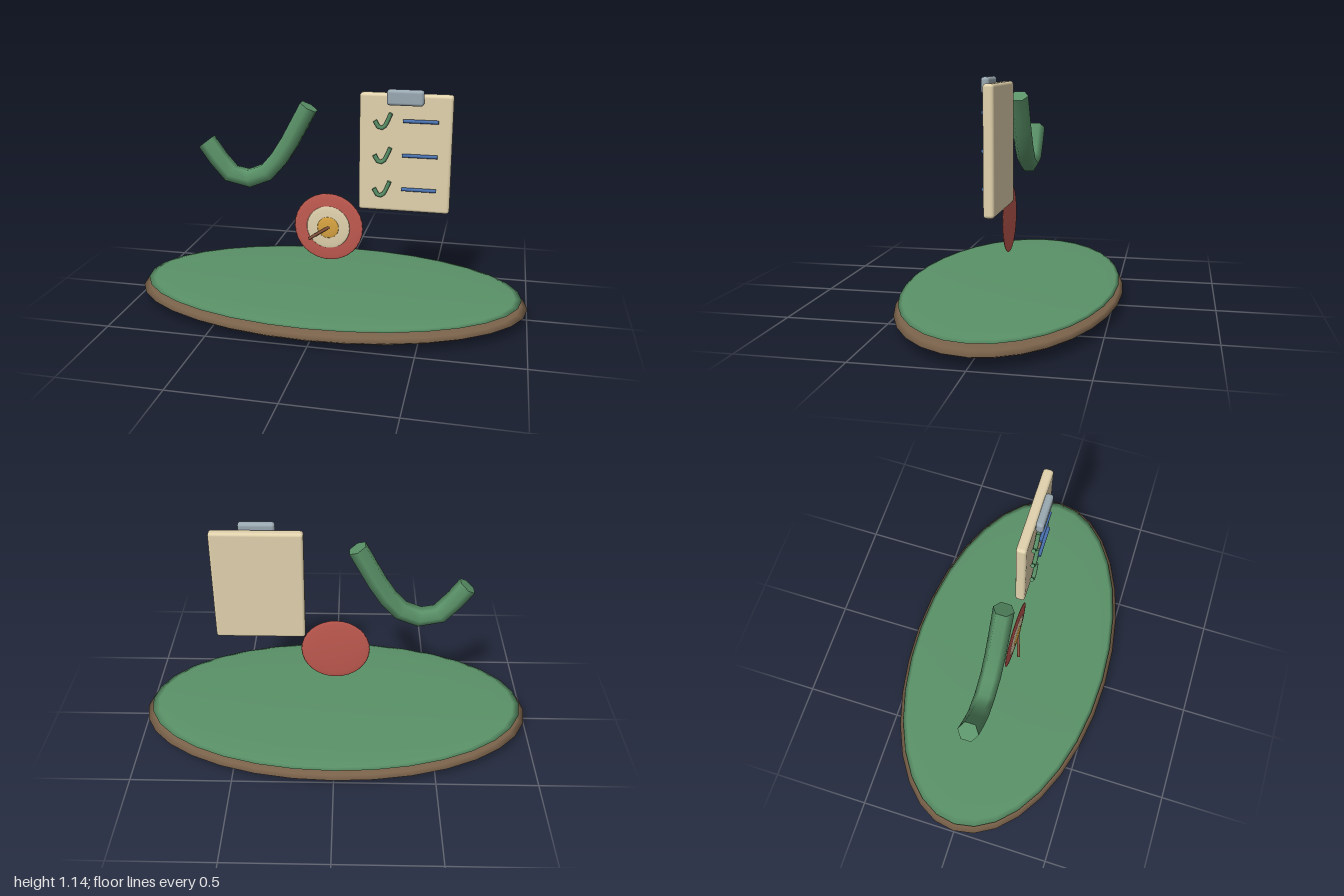
import * as THREE from 'three';
import { RoundedBoxGeometry } from 'three/addons/geometries/RoundedBoxGeometry.js';

const material = (color) => new THREE.MeshStandardMaterial({ color });
const GREEN = material(0x5a9268);
const BROWN = material(0x7a624a);
const CREAM = material(0xe2d3ae);
const RED = material(0xc05a50);
const GOLD = material(0xd9a441);
const BLUE = material(0x4a72b0);
const STEEL = material(0x9aa9b2);
const WOOD = material(0x80503a);

// Check mark path, measured from its start point
const TICK = [[0, 0], [0.12, -0.156], [0.18, -0.183], [0.305, -0.148], [0.39, -0.053], [0.532, 0.2]];

export function createModel() {
  const model = new THREE.Group();

  const add = (name, geometry, mat, x = 0, y = 0, z = 0, parent = model) => {
    const mesh = new THREE.Mesh(geometry, mat);
    mesh.name = name;
    mesh.position.set(x, y, z);
    parent.add(mesh);
    return mesh;
  };

  // Squashed sphere
  const ellipsoid = (rx, ry, rz, w, h) => new THREE.SphereGeometry(1, w, h).scale(rx, ry, rz);

  // Straight rod between two points
  const rod = (name, a, b, radius, sides, mat, parent) => {
    const dir = b.clone().sub(a);
    const mid = a.clone().add(b).multiplyScalar(0.5);
    const mesh = add(name, new THREE.CylinderGeometry(radius, radius, dir.length(), sides), mat, mid.x, mid.y, mid.z, parent);
    mesh.quaternion.setFromUnitVectors(new THREE.Vector3(0, 1, 0), dir.normalize());
    return mesh;
  };

  // Hexagonal tube check mark with capped ends
  const tick = (name, x, y, z, sx, sy, radius, parent) => {
    const group = new THREE.Group();
    group.name = name;
    group.position.set(x, y, z);
    const curve = new THREE.CatmullRomCurve3(TICK.map(([px, py]) => new THREE.Vector3(px * sx, py * sy, 0)));
    add(name + 'Stroke', new THREE.TubeGeometry(curve, 8, radius, 6), GREEN, 0, 0, 0, group);
    for (const t of [0, 1]) {
      const p = curve.getPointAt(t);
      const out = curve.getTangentAt(t).multiplyScalar(t ? 1 : -1);
      const cap = add(name + 'Cap', new THREE.CircleGeometry(radius, 6).rotateZ(Math.PI / 2), GREEN, p.x, p.y, 0, group);
      // turn the cap outwards while keeping two corners on the z axis
      const side = new THREE.Vector3(0, 0, 1);
      const basis = new THREE.Matrix4().makeBasis(side.clone().cross(out), side, out);
      cap.quaternion.setFromRotationMatrix(basis);
    }
    (parent || model).add(group);
  };

  // Ground island
  add('earthBase', ellipsoid(1, 0.058, 0.545, 32, 12), BROWN, 0, 0.058, 0);
  add('grassTop', ellipsoid(0.97, 0.018, 0.525, 32, 12), GREEN, 0, 0.103, 0);

  // Large check mark
  tick('largeCheck', -0.635, 0.828, 0, 1, 1, 0.05);

  // Target and dart
  const target = new THREE.Group();
  target.name = 'target';
  target.position.set(0, 0.425, 0);
  model.add(target);
  add('outerRing', ellipsoid(0.175, 0.175, 0.009, 24, 16), RED, 0, 0, 0.025, target);
  add('middleRing', ellipsoid(0.11, 0.11, 0.006, 24, 16), CREAM, 0, 0, 0.032, target);
  add('bullseye', ellipsoid(0.055, 0.055, 0.006, 20, 12), GOLD, 0, 0, 0.037, target);
  rod('dart', new THREE.Vector3(-0.092, -0.055, 0.072), new THREE.Vector3(0.008, 0.005, 0.036), 0.008, 8, WOOD, target);

  // Clipboard
  const clipboard = new THREE.Group();
  clipboard.name = 'clipboard';
  model.add(clipboard);
  add('board', new RoundedBoxGeometry(0.445, 0.58, 0.05, 3, 0.015), CREAM, 0.3725, 0.82, -0.001, clipboard);
  add('clip', new RoundedBoxGeometry(0.175, 0.075, 0.039, 3, 0.015), STEEL, 0.3725, 1.098, 0.044, clipboard);

  // Checklist rows
  for (let i = 0; i < 3; i++) {
    const y = 0.985 - i * 0.168;
    tick('listCheck', 0.229, y - 0.003, 0.038, 0.142, 0.19, 0.011, clipboard);
    rod('listLine', new THREE.Vector3(0.363, y, 0.036), new THREE.Vector3(0.53, y, 0.036), 0.009, 8, BLUE, clipboard);
  }

  return model;
}
